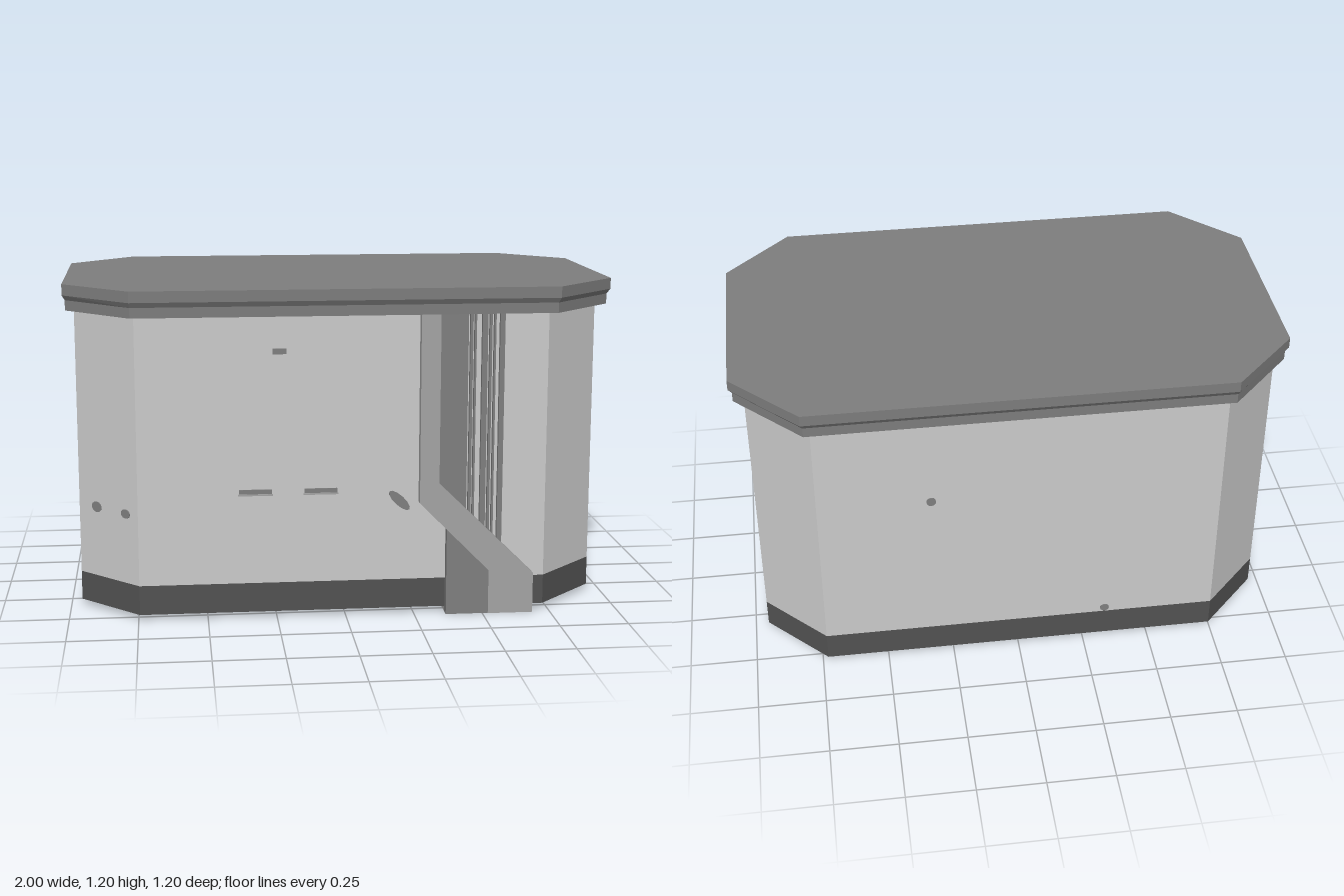
import * as THREE from 'three';

const mat = (name, color) => {
  const m = new THREE.MeshStandardMaterial({ color });
  m.name = name;
  return m;
};

// Solid made of stacked octagon rings: [y, [xMin, xCutMin, xCutMax, xMax], [zMin, zCutMin, zCutMax, zMax]]
function octagonLoft(rings) {
  const pts = rings.map(([y, x, z]) => [
    [x[3], y, z[2]], [x[2], y, z[3]], [x[1], y, z[3]], [x[0], y, z[2]],
    [x[0], y, z[1]], [x[1], y, z[0]], [x[2], y, z[0]], [x[3], y, z[1]],
  ]);
  const out = [];
  const tri = (a, b, c) => out.push(...a, ...b, ...c);
  for (let r = 0; r < pts.length - 1; r++) {
    const a = pts[r], b = pts[r + 1];
    for (let i = 0; i < 8; i++) {
      const j = (i + 1) % 8;
      tri(a[i], b[i], b[j]);
      tri(a[i], b[j], a[j]);
    }
  }
  const bottom = pts[0], top = pts[pts.length - 1];
  for (let i = 1; i < 7; i++) {
    tri(bottom[0], bottom[i], bottom[i + 1]);
    tri(top[0], top[i + 1], top[i]);
  }
  const g = new THREE.BufferGeometry();
  g.setAttribute('position', new THREE.Float32BufferAttribute(out, 3));
  g.computeVertexNormals();
  return g;
}

// Outline in x and y, extruded from z0 to z1
function plate(points, z0, z1) {
  const shape = new THREE.Shape(points.map(([x, y]) => new THREE.Vector2(x, y)));
  return new THREE.ExtrudeGeometry(shape, { depth: z1 - z0, bevelEnabled: false }).translate(0, 0, z0);
}

export function createModel() {
  const group = new THREE.Group();
  const wall = mat('lightGrey', 0xcbcbcb);
  const plinthMat = mat('charcoal', 0x525252);
  const roofMat = mat('roofGrey', 0x7d7d7d);
  const trim = mat('trimGrey', 0xa3a3a3);
  const shade = mat('darkTrimGrey', 0x7f7f7f);

  const add = (name, geometry, material) => {
    const m = new THREE.Mesh(geometry, material);
    m.name = name;
    group.add(m);
    return m;
  };

  // Cabin with cut corners on a dark plinth
  const bx = [-0.96, -0.745, 0.73, 0.95], bz = [-0.543, -0.322, 0.325, 0.545];
  add('plinth', octagonLoft([[0.022, bx, bz], [0.13, bx, bz]]), plinthMat);
  add('walls', octagonLoft([[0.13, bx, bz], [1.12, bx, bz]]), wall);

  // Overhanging roof with a sloped step
  const lx = [-0.99, -0.757, 0.752, 0.987], lz = [-0.588, -0.346, 0.35, 0.59];
  const rx = [-1, -0.76, 0.76, 1], rz = [-0.6, -0.356, 0.356, 0.6];
  add('roof', octagonLoft([
    [1.105, lx, lz], [1.142, lx, lz], [1.16, rx, rz], [1.2, rx, rz],
  ]), roofMat);

  // Bent cover that runs down the front and out to the foot
  add('ductCover', plate([
    [0.265, 1.11], [0.265, 0.42], [0.52, 0.163], [0.52, 0], [0.685, 0],
    [0.685, 0.148], [0.335, 0.492], [0.335, 1.11],
  ], 0.54, 0.58), trim);
  add('upperDuctPanel', plate([
    [0.335, 1.11], [0.335, 0.492], [0.435, 0.394], [0.435, 1.11],
  ], 0.54, 0.57), shade);
  add('lowerDuctPanel', plate([
    [0.365, 0.32], [0.365, 0], [0.52, 0], [0.52, 0.163],
  ], 0.54, 0.576), shade);

  // Upright cables that end on the sloped cover
  for (const [x, w] of [[0.448, 0.01], [0.462, 0.007], [0.496, 0.02], [0.517, 0.009], [0.532, 0.007], [0.559, 0.018]]) {
    const end = 0.81 - x;
    add('cable', plate([
      [x - w / 2, 1.11], [x - w / 2, end], [x + w / 2, end], [x + w / 2, 1.11],
    ], 0.54, 0.562), shade);
  }

  // Two open frames tucked under the plinth behind the foot
  for (const [x0, x1] of [[0.365, 0.52], [0.52, 0.685]]) {
    const w = x1 - x0, c = (x0 + x1) / 2;
    add('footFrameBack', new THREE.BoxGeometry(w, 0.022, 0.015).translate(c, 0.011, 0.4775), trim);
    for (const x of [x0 + 0.008, x1 - 0.008]) {
      add('footFrameSide', new THREE.BoxGeometry(0.016, 0.022, 0.06).translate(x, 0.011, 0.512), trim);
    }
  }

  // Small oval marks on the walls: x, y, z, width, height, turn, tilt
  const marks = [
    [0.195, 0.425, 0.545, 0.1, 0.036, 0, -0.75],
    [-0.893, 0.39, 0.39, 0.052, 0.04, -0.808, 0],
    [-0.788, 0.388, 0.5, 0.045, 0.034, -0.808, 0],
    [0.95, 1.095, 0.028, 0.045, 0.03, Math.PI / 2, 0],
    [0.32, 0.74, -0.543, 0.035, 0.035, Math.PI, 0],
    [-0.33, 0.15, -0.543, 0.035, 0.03, Math.PI, 0],
    [-0.96, 0.87, -0.23, 0.035, 0.035, -Math.PI / 2, 0],
  ];
  for (const [x, y, z, w, h, turn, tilt] of marks) {
    const g = new THREE.CylinderGeometry(0.5, 0.5, 0.008, 12).rotateX(Math.PI / 2);
    g.scale(w, h, 1).rotateZ(tilt).rotateY(turn).translate(x, y, z);
    add('wallMark', g, shade);
  }

  // Thin slots on the front wall
  add('upperSlot', new THREE.BoxGeometry(0.05, 0.02, 0.008).translate(-0.236, 0.976, 0.545), shade);
  for (const x of [-0.325, -0.09]) {
    add('slot', new THREE.BoxGeometry(0.118, 0.016, 0.009).translate(x, 0.469, 0.545), shade);
    add('slotLip', new THREE.BoxGeometry(0.126, 0.006, 0.008).translate(x, 0.457, 0.545), trim);
  }
  return group;
}
